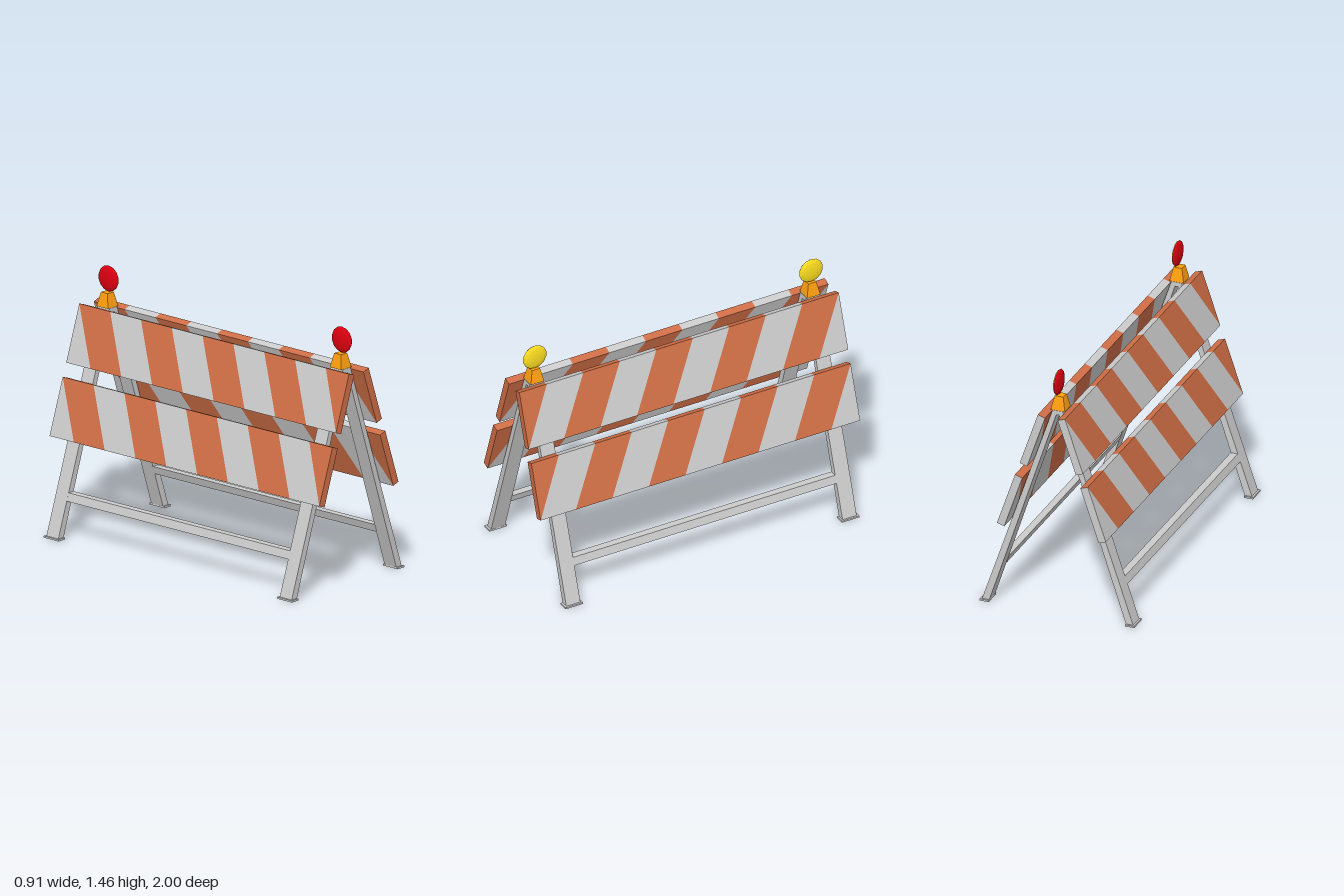
import * as THREE from 'three';

const paint = (color) => new THREE.MeshStandardMaterial({ color, flatShading: true });
const grey = paint(0xcccccc);
const orange = paint(0xcf6e46);
const amber = paint(0xffa010);
const yellow = paint(0xffe020);
const red = paint(0xe00010);

const TILT = 0.328;      // lean of each side of the frame
const POST_Z = 0.865;    // distance of the legs from the middle

function addMesh(parent, name, geometry, material, x = 0, y = 0, z = 0) {
  const mesh = new THREE.Mesh(geometry, material);
  mesh.name = name;
  mesh.position.set(x, y, z);
  parent.add(mesh);
  return mesh;
}

// Straight extrusion of an outline, centred on its depth
function prism(points, depth) {
  const shape = new THREE.Shape(points.map(([x, y]) => new THREE.Vector2(x, y)));
  return new THREE.ExtrudeGeometry(shape, { depth, bevelEnabled: false }).translate(0, 0, -depth / 2);
}

// Board made of slanted blocks in alternating colours
function stripedBoard(side, name, x, y) {
  const board = new THREE.Group();
  board.name = name;
  const half = 0.166, step = 0.2285, slant = 0.18;
  const clamp = (v) => Math.min(1, Math.max(-1, v));
  for (let j = -1; j <= 8; j++) {
    const z0 = -1 + j * step, z1 = z0 + step;
    const corners = [[z0, half], [z1, half], [z1 + slant, -half], [z0 + slant, -half]]
      .map(([z, v]) => [-clamp(z), v]);
    const outline = corners.filter((p, i) => {
      const q = corners[(i + 1) % 4];
      return p[0] !== q[0] || p[1] !== q[1];
    });
    const geometry = prism(outline, 0.045).rotateY(Math.PI / 2);
    addMesh(board, j % 2 ? 'greyStripe' : 'orangeStripe', geometry, j % 2 ? grey : orange);
  }
  board.position.set(side * x, y, 0);
  board.rotation.z = side * TILT;
  return board;
}

// One leaning side: two legs with feet, a crossbar and two boards
function frameSide(side) {
  const group = new THREE.Group();
  group.name = side > 0 ? 'leftSide' : 'rightSide';
  const mirrored = (points) => points.map(([x, y]) => [side * x, y]);
  const legOutline = mirrored([[0.407, 0], [0.45, 0], [0.03, 1.235], [0, 1.235], [0, 1.21], [0.008, 1.21]]);
  for (const z of [-POST_Z, POST_Z]) {
    addMesh(group, 'leg', prism(legOutline, 0.088), grey, 0, 0, z);
    addMesh(group, 'foot', new THREE.BoxGeometry(0.054, 0.01, 0.11), grey, side * 0.43, 0.005, z);
  }
  const barOutline = mirrored([[0.336, 0.21], [0.378, 0.21], [0.363, 0.255], [0.321, 0.255]]);
  addMesh(group, 'crossbar', prism(barOutline, 1.65), grey);
  group.add(stripedBoard(side, 'upperBoard', 0.112, 1.075));
  group.add(stripedBoard(side, 'lowerBoard', 0.247, 0.685));
  return group;
}

// Half of a flattened faceted lens, bulging along x
function lensHalf(side) {
  return new THREE.SphereGeometry(0.074, 14, 4, 0, Math.PI * 2, 0, Math.PI / 2)
    .rotateZ(-side * Math.PI / 2)
    .scale(0.25, 1, 1);
}

// Warning lamp: tapered square base with a two-coloured lens
function lamp(z) {
  const group = new THREE.Group();
  group.name = 'warningLamp';
  const base = new THREE.CylinderGeometry(0.025 * Math.SQRT2, 0.042 * Math.SQRT2, 0.08, 4).rotateY(Math.PI / 4);
  addMesh(group, 'lampBase', base, amber, 0, 1.275, 0);
  addMesh(group, 'yellowLens', lensHalf(1), yellow, 0.01, 1.39, 0);
  addMesh(group, 'redLens', lensHalf(-1), red, 0.01, 1.39, 0);
  group.position.z = z;
  return group;
}

export function createModel() {
  const model = new THREE.Group();
  model.name = 'roadBarricade';
  for (const side of [-1, 1]) {
    model.add(frameSide(side));
    model.add(lamp(side * POST_Z));
  }
  return model;
}
